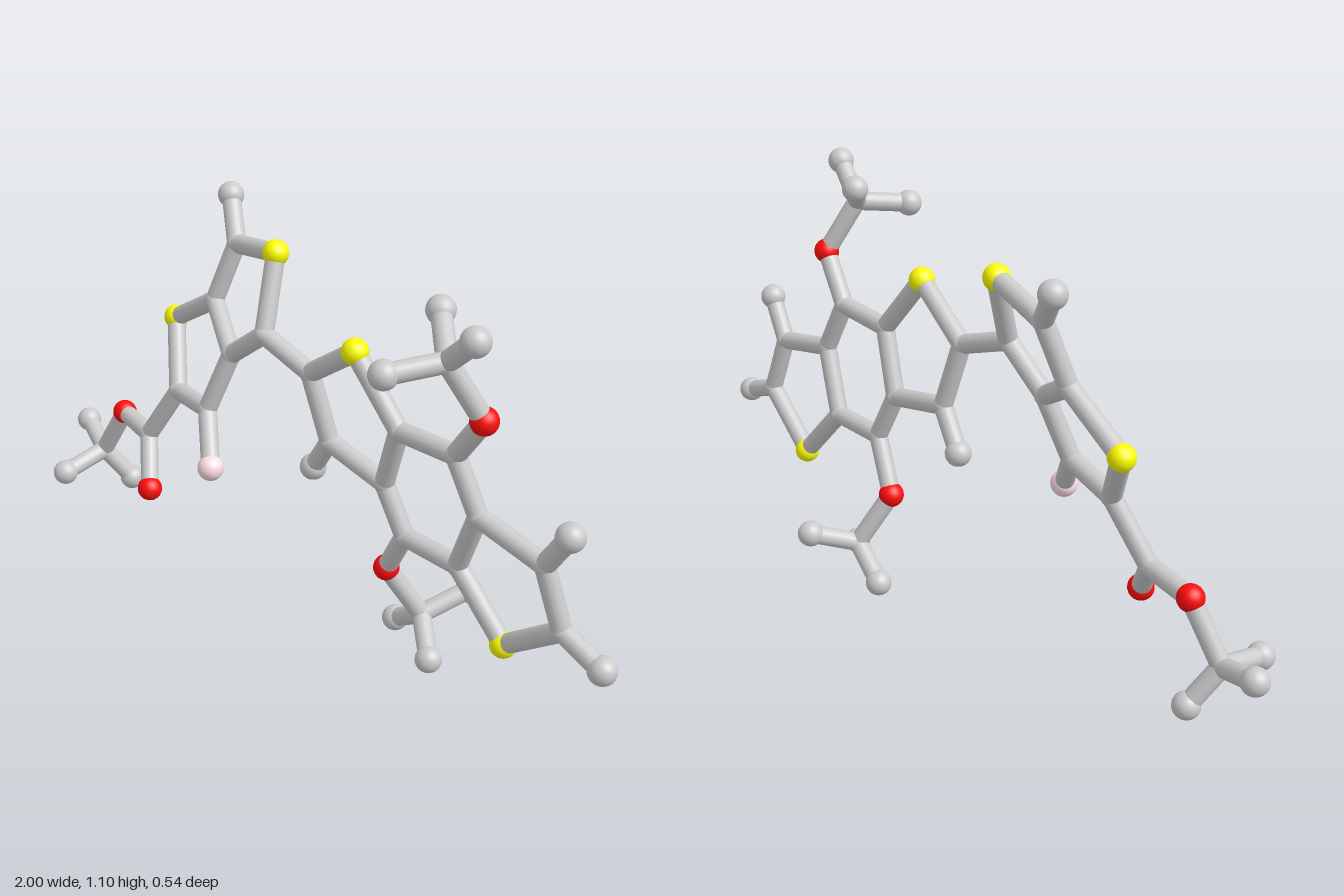
import * as THREE from 'three';

const BOND_RADIUS = 0.025;

// Sphere radius and colour for each kind of atom
const KINDS = {
  joint: { name: 'carbonJoint', radius: 0.027, color: 0xcccccc },
  tip: { name: 'carbonTip', radius: 0.035, color: 0xcccccc },
  sulfur: { name: 'sulfurAtom', radius: 0.034, color: 0xffff00 },
  oxygen: { name: 'oxygenAtom', radius: 0.034, color: 0xff0d0d },
  fluorine: { name: 'fluorineAtom', radius: 0.035, color: 0xffdde6 },
};

// Each fragment: atoms as label: [kind, x, y, z]
const FRAGMENTS = {
  // Two fused five-sided rings with a fluorine
  leftRings: {
    a1: ['sulfur', -0.16, 0.99, -0.05],
    a2: ['joint', -0.36, 0.95, -0.093],
    a3: ['joint', -0.405, 0.79, -0.051],
    a4: ['joint', -0.26, 0.70, 0.019],
    a5: ['joint', -0.125, 0.80, 0.024],
    a6: ['sulfur', -0.59, 0.68, -0.065],
    a7: ['joint', -0.49, 0.515, 0.018],
    a8: ['joint', -0.315, 0.535, 0.06],
    a9: ['fluorine', -0.23, 0.415, 0.125],
    a10: ['tip', -0.445, 1.05, -0.15],
  },
  esterGroup: {
    e1: ['joint', -0.59, 0.355, 0.05],
    e2: ['oxygen', -0.51, 0.237, 0.117],
    e3: ['oxygen', -0.75, 0.355, 0.013],
    e4: ['joint', -0.84, 0.205, 0.03],
    e5: ['tip', -0.965, 0.245, -0.01],
    e6: ['tip', -0.845, 0.176, 0.17],
    e7: ['tip', -0.795, 0.105, -0.033],
  },
  // Six-sided ring between two five-sided rings
  rightRings: {
    r1: ['joint', 0.035, 0.745, 0.015],
    r2: ['sulfur', 0.21, 0.865, 0.035],
    r3: ['joint', 0.345, 0.70, 0.02],
    r4: ['joint', 0.28, 0.525, -0.003],
    r5: ['joint', 0.085, 0.565, -0.005],
    r6: ['tip', 0.01, 0.46, -0.02],
    r7: ['joint', 0.53, 0.71, 0.027],
    r8: ['joint', 0.595, 0.57, 0.013],
    r9: ['joint', 0.52, 0.395, -0.011],
    r10: ['joint', 0.34, 0.395, -0.017],
    r11: ['sulfur', 0.665, 0.235, -0.022],
    r12: ['joint', 0.845, 0.37, -0.003],
    r13: ['joint', 0.795, 0.53, 0.014],
    r14: ['tip', 0.965, 0.325, 0],
    r15: ['tip', 0.87, 0.64, 0.03],
  },
  upperBranch: {
    u1: ['oxygen', 0.625, 0.837, 0.046],
    u2: ['joint', 0.565, 0.98, 0.11],
    u3: ['tip', 0.47, 1.05, 0.03],
    u4: ['tip', 0.495, 0.965, 0.235],
    u5: ['tip', 0.665, 1.067, 0.137],
  },
  lowerBranch: {
    d1: ['oxygen', 0.255, 0.255, -0.045],
    d2: ['joint', 0.315, 0.11, -0.118],
    d3: ['tip', 0.205, 0.037, -0.137],
    d4: ['tip', 0.41, 0.05, -0.045],
    d5: ['tip', 0.37, 0.158, -0.237],
  },
};

// Chains of bonded atoms; a bond joins each neighbouring pair
const CHAINS = [
  'a1 a2 a3 a4 a5 a1', 'a3 a6 a7 a8 a4', 'a8 a9', 'a2 a10',
  'a7 e1 e3 e4 e5', 'e1 e2', 'e6 e4 e7',
  'a5 r1 r2 r3 r4 r5 r1', 'r5 r6',
  'r3 r7 r8 r9 r10 r4', 'r9 r11 r12 r13 r8', 'r12 r14', 'r13 r15',
  'r7 u1 u2 u3', 'u4 u2 u5',
  'r10 d1 d2 d3', 'd4 d2 d5',
];

export function createModel() {
  const model = new THREE.Group();
  model.name = 'molecule';
  const points = {};

  // Atoms
  const shapes = {};
  for (const [key, k] of Object.entries(KINDS)) {
    shapes[key] = {
      geometry: new THREE.SphereGeometry(k.radius, 24, 16),
      material: new THREE.MeshStandardMaterial({ color: k.color }),
    };
  }
  for (const [name, atoms] of Object.entries(FRAGMENTS)) {
    const group = new THREE.Group();
    group.name = name;
    for (const [label, [kind, x, y, z]] of Object.entries(atoms)) {
      const ball = new THREE.Mesh(shapes[kind].geometry, shapes[kind].material);
      ball.name = KINDS[kind].name;
      ball.position.set(x, y, z);
      points[label] = ball.position;
      group.add(ball);
    }
    model.add(group);
  }

  // Bonds
  const bonds = new THREE.Group();
  bonds.name = 'bonds';
  const rod = new THREE.CylinderGeometry(BOND_RADIUS, BOND_RADIUS, 1, 20, 1, true);
  const up = new THREE.Vector3(0, 1, 0);
  for (const chain of CHAINS) {
    const labels = chain.split(' ');
    for (let i = 1; i < labels.length; i++) {
      const a = points[labels[i - 1]];
      const b = points[labels[i]];
      const dir = b.clone().sub(a);
      const bond = new THREE.Mesh(rod, shapes.joint.material);
      bond.name = 'bond';
      bond.position.copy(a).add(b).multiplyScalar(0.5);
      bond.scale.y = dir.length();
      bond.quaternion.setFromUnitVectors(up, dir.normalize());
      bonds.add(bond);
    }
  }
  model.add(bonds);
  return model;
}
